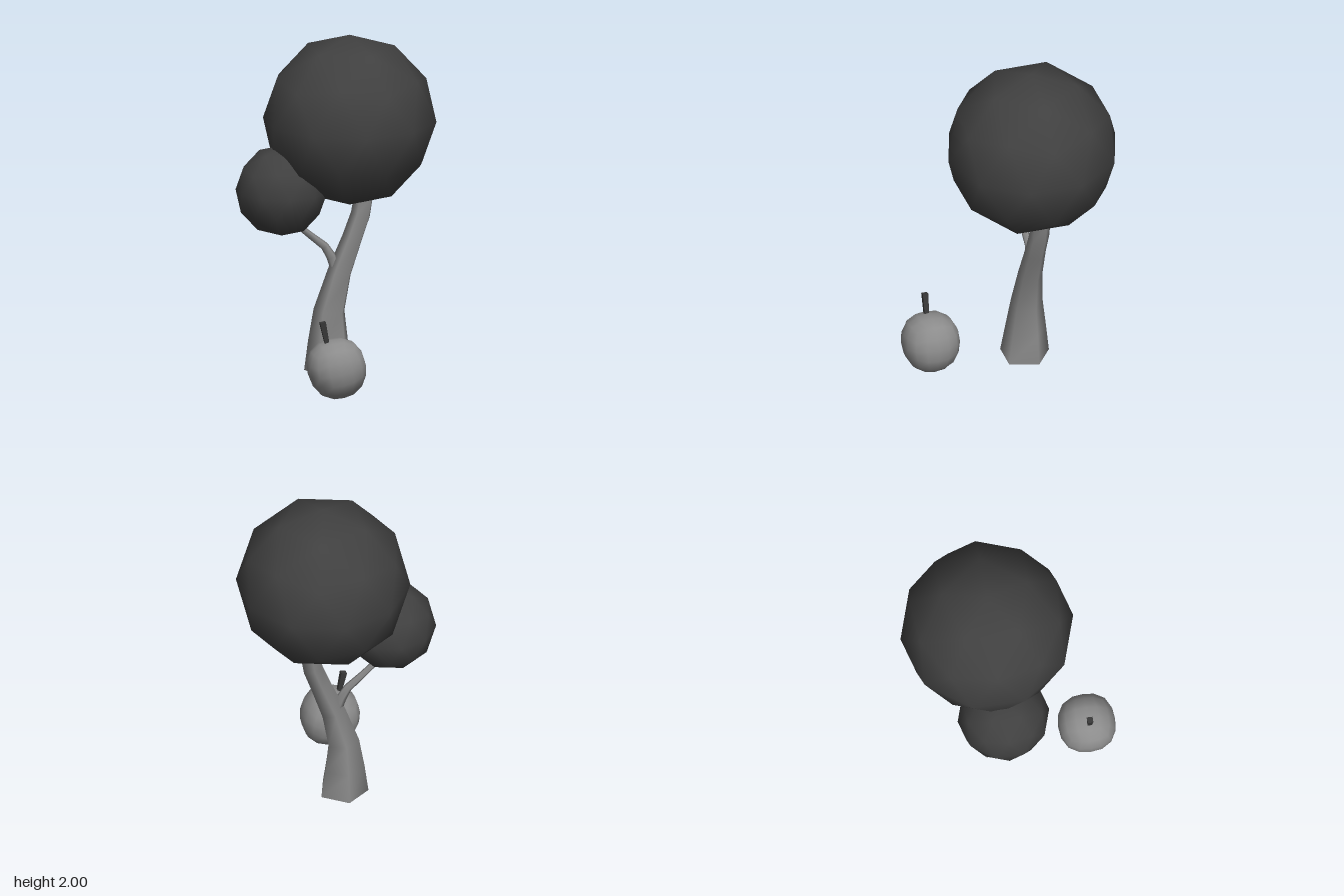
import * as THREE from 'three';
import { mergeVertices } from 'three/addons/utils/BufferGeometryUtils.js';

const smooth = (geo) => {
  geo.deleteAttribute('normal');
  geo.deleteAttribute('uv');
  const merged = mergeVertices(geo, 1e-4);
  merged.computeVertexNormals();
  return merged;
};

// Loft through rings given as [x, y, z, radius, tilt about z], with flat end caps
function loft(rings, sides) {
  const pos = [], index = [];
  const addRing = ([x, y, z, r, tilt]) => {
    const start = pos.length / 3;
    for (let i = 0; i < sides; i++) {
      const a = 0.3 * Math.PI + (i / sides) * Math.PI * 2;
      const u = r * Math.cos(a);
      pos.push(x + u * Math.cos(tilt), y + u * Math.sin(tilt), z + r * Math.sin(a));
    }
    return start;
  };
  const starts = rings.map(addRing);
  for (let k = 0; k < rings.length - 1; k++) {
    for (let i = 0; i < sides; i++) {
      const j = (i + 1) % sides;
      const a = starts[k] + i, b = starts[k] + j, c = starts[k + 1] + i, d = starts[k + 1] + j;
      index.push(a, c, b, b, c, d);
    }
  }
  const bottom = addRing(rings[0]), top = addRing(rings[rings.length - 1]);
  for (let i = 1; i < sides - 1; i++) {
    index.push(bottom, bottom + i, bottom + i + 1);
    index.push(top, top + i + 1, top + i);
  }
  const geo = new THREE.BufferGeometry();
  geo.setAttribute('position', new THREE.Float32BufferAttribute(pos, 3));
  geo.setIndex(index);
  geo.computeVertexNormals();
  return geo;
}

// Low-poly ball with a vertex pointing straight up
function foliageBall(radius) {
  const geo = new THREE.IcosahedronGeometry(radius, 1);
  geo.rotateZ(-Math.atan(2 / (1 + Math.sqrt(5))));
  return smooth(geo);
}

// Rounded cube with a slightly narrower base
function fruitGeometry() {
  const geo = new THREE.BoxGeometry(2, 2, 2, 4, 4, 4);
  const p = geo.attributes.position, n = 2.4;
  for (let i = 0; i < p.count; i++) {
    const v = [p.getX(i), p.getY(i), p.getZ(i)].map((c) => Math.tan(c * Math.PI / 4));
    const len = Math.pow(v.reduce((s, c) => s + Math.pow(Math.abs(c), n), 0), 1 / n);
    const [x, y, z] = v.map((c) => c / len);
    const w = y < 0 ? 1 + 0.08 * y : 1;
    p.setXYZ(i, x * w * 0.168, y * 0.172, z * w * 0.165);
  }
  return smooth(geo);
}

export function createModel() {
  const group = new THREE.Group();
  const material = (name, color) => {
    const m = new THREE.MeshStandardMaterial({ color });
    m.name = name;
    return m;
  };
  const leaf = material('dark foliage', 0x404040);
  const bark = material('grey bark', 0x888888);
  const skin = material('grey fruit skin', 0x8c8c8c);
  const stalk = material('dark stalk', 0x383838);

  const add = (name, geo, mat, x = 0, y = 0, z = 0, tilt = 0) => {
    const mesh = new THREE.Mesh(geo, mat);
    mesh.name = name;
    mesh.position.set(x, y, z);
    mesh.rotation.z = tilt;
    group.add(mesh);
  };

  // Crown
  add('largeFoliage', foliageBall(0.5), leaf, 0.09, 1.5, -0.105);
  add('smallFoliage', foliageBall(0.265), leaf, -0.315, 1.11, -0.07);

  // Curved five-sided trunk
  add('trunk', loft([
    [-0.029, 0.03, -0.098, 0.1465, 0],
    [-0.03, 0.2, -0.105, 0.122, 0],
    [-0.024, 0.38, -0.11, 0.095, -0.1],
    [0.035, 0.6, -0.113, 0.073, -0.3],
    [0.112, 0.8, -0.12, 0.062, -0.34],
    [0.16, 0.93, -0.127, 0.06, -0.3],
    [0.182, 1.05, -0.132, 0.058, -0.1],
  ], 5), bark);

  // Side branch
  add('branch', loft([
    [0.01, 0.62, -0.125, 0.03, 0.1],
    [-0.01, 0.69, -0.13, 0.03, 0.4],
    [-0.05, 0.755, -0.13, 0.025, 0.75],
    [-0.13, 0.82, -0.125, 0.021, 0.9],
    [-0.195, 0.875, -0.12, 0.019, 0.75],
    [-0.24, 0.94, -0.115, 0.018, 0.5],
  ], 5), bark);

  // Fallen fruit and its stalk
  add('fruit', fruitGeometry(), skin, -0.096, 0.173, 0.445, 0.2);
  const stem = new THREE.CylinderGeometry(0.024, 0.016, 0.16, 4).toNonIndexed();
  stem.rotateY(Math.PI / 4);
  stem.computeVertexNormals();
  add('fruitStem', stem, stalk, -0.164, 0.373, 0.452, 0.2);

  return group;
}
